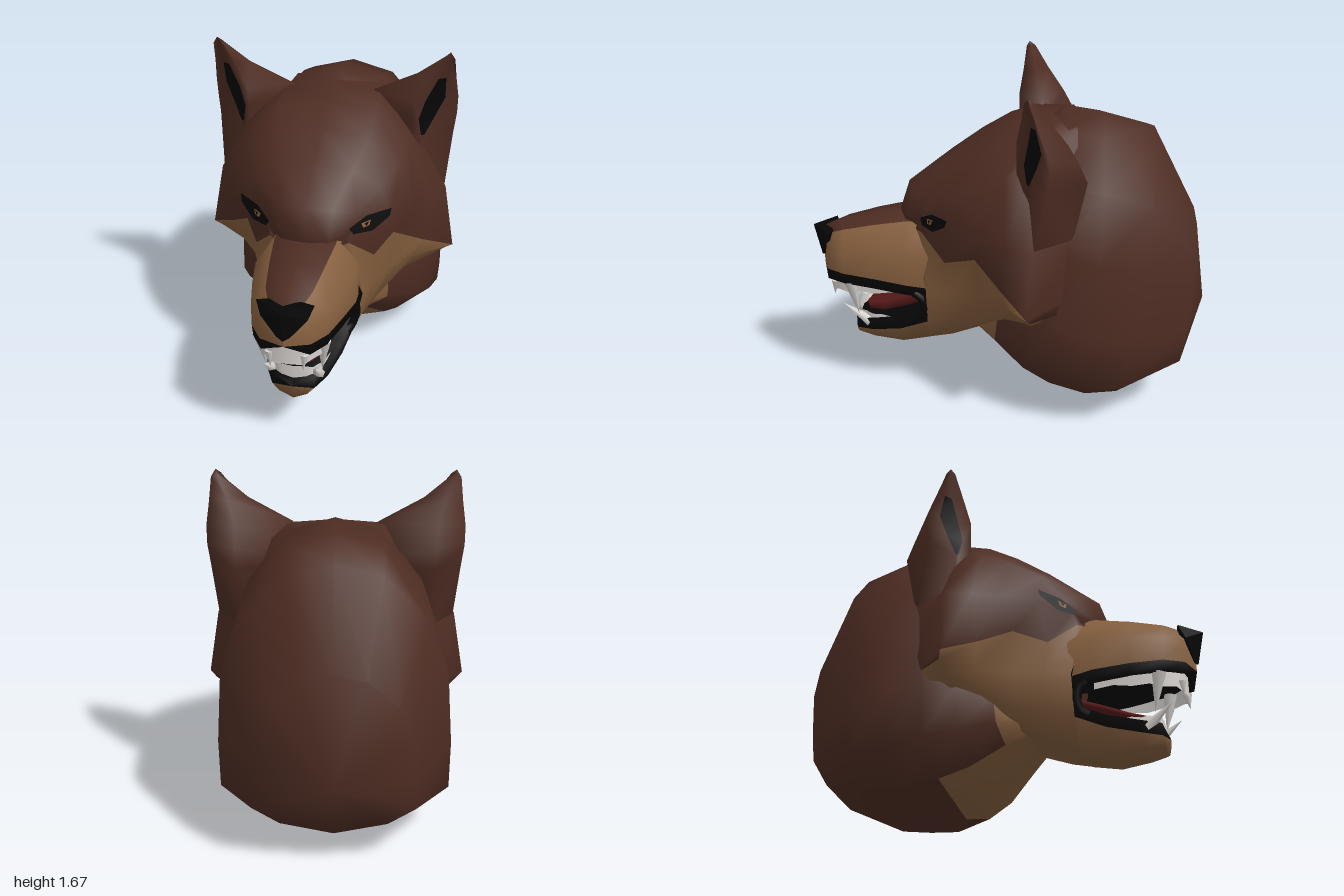
import * as THREE from 'three';
import { mergeVertices } from 'three/addons/utils/BufferGeometryUtils.js';
import { ConvexGeometry } from 'three/addons/geometries/ConvexGeometry.js';

const mat = (name, color, side = THREE.FrontSide) => {
  const m = new THREE.MeshStandardMaterial({ color, side });
  m.name = name;
  return m;
};

// Skin over rings of points; pick(i, j) chooses the material index of each patch
function skin(rings, pick, closed = true, flip = false) {
  const n = rings[0].length, lists = [];
  for (let i = 0; i < rings.length - 1; i++) {
    for (let j = 0; j < (closed ? n : n - 1); j++) {
      const a = i * n + j, b = i * n + (j + 1) % n, c = a + n, d = b + n;
      const list = (lists[pick(i, j)] ??= []);
      list.push(...(flip ? [a, c, b, b, c, d] : [a, b, c, b, d, c]));
    }
  }
  const geo = new THREE.BufferGeometry();
  geo.setAttribute('position', new THREE.Float32BufferAttribute(rings.flat(2), 3));
  geo.setIndex(lists.flat());
  let start = 0;
  lists.forEach((l, m) => { geo.addGroup(start, l.length, m); start += l.length; });
  geo.computeVertexNormals();
  return geo;
}

// Mirror-symmetric skin from half sections running top centre -> side -> bottom centre
function symSkin(halves, pick) {
  const n = halves[0].length;
  const rings = halves.map(h => [...h, ...h.slice(1, -1).reverse().map(([x, y, z]) => [-x, y, z])]);
  return skin(rings, (i, j) => pick(i, j < n - 1 ? j : 2 * n - 3 - j));
}
const point = (p, n) => Array(n).fill(p);
const lerp = THREE.MathUtils.lerp;

export function createModel() {
  const model = new THREE.Group();
  model.name = 'wolfHead';
  const fur = mat('brownFur', 0x4e2d23), tan = mat('tanFur', 0x855f3e);
  const black = mat('black', 0x060606, THREE.DoubleSide), white = mat('teethWhite', 0xd6d2ce, THREE.DoubleSide);
  const red = mat('mouthRed', 0x581a1a, THREE.DoubleSide), amber = mat('amber', 0x8f5c32, THREE.DoubleSide);
  const mats = [fur, tan, black];
  const add = (name, geo, material) => {
    const m = new THREE.Mesh(geo, material);
    m.name = name;
    model.add(m);
    return m;
  };

  // Neck and mane: one outline scaled by [zBottom, zTop, yBottom, yTop, halfWidth]
  const outline = [[0, 1], [0.4, 0.96], [0.76, 0.81], [0.95, 0.6], [1, 0.35], [1, 0.17], [0.66, 0.067], [0, 0]];
  const neck = [
    [0.22, 0.1, 0.37, 0.7, 0.16], [0.08, 0, 0.27, 1, 0.33], [-0.07, -0.1, 0.12, 1.38, 0.45],
    [-0.2, -0.28, 0.05, 1.49, 0.52], [-0.38, -0.45, 0, 1.46, 0.545], [-0.53, -0.7, 0.02, 1.39, 0.54],
    [-0.83, -0.92, 0.16, 0.97, 0.37], [-1, -1, 0.47, 0.47, 0],
  ].map(([zb, zt, yb, yt, w]) => outline.map(([u, v]) => [u * w, lerp(yb, yt, v), lerp(zb, zt, v)]));
  const neckSkin = symSkin(neck, (i, r) => (i === 0 && r > 3) || (i < 3 && r === 6) ? 1 : 0);
  neckSkin.deleteAttribute('normal');
  const neckGeo = mergeVertices(neckSkin);
  neckGeo.computeVertexNormals();
  add('neck', neckGeo, mats);

  // Skull and cheeks: [z, forward lean of crown, crown y, brow x, y, eye x, tan edge x, y, cheek x, cheek bottom y, jaw x, y]
  const skull = [
    [0.45, 0.1, 0.95, 0.19, 0.95, 0.18, 0.15, 0.9, 0.255, 0.42, 0.14, 0.26],
    [0.41, 0.09, 1.1, 0.21, 1.03, 0.2, 0.19, 0.9, 0.255, 0.42, 0.14, 0.26],
    [0.29, 0.01, 1.23, 0.31, 1.13, 0.36, 0.29, 0.78, 0.29, 0.45, 0.18, 0.3],
    [0.14, 0, 1.33, 0.38, 1.2, 0.45, 0.36, 0.83, 0.35, 0.46, 0.2, 0.36],
    [0.01, -0.02, 1.41, 0.4, 1.26, 0.53, 0.5, 0.73, 0.45, 0.53, 0.3, 0.42],
    [-0.11, -0.04, 1.45, 0.4, 1.3, 0.58, 0.635, 0.65, 0.6, 0.58, 0.42, 0.46],
    [-0.32, 0, 1.45, 0.38, 1.18, 0.46, 0.48, 0.7, 0.45, 0.5, 0.3, 0.42],
  ].map(([z, lean, top, bx, by, ex, tx, ty, cx, cy, jx, jy]) => {
    const zj = Math.min(z, 0.41);
    return [[0, top, z + lean], [bx * 0.58, top - 0.02, z + lean * 0.7], [bx, by, z - lean * 0.25],
      [ex, Math.min(0.97, by - 0.03), z], [tx, ty, z + 0.02],
      [cx, 0.62, zj], [cx * 0.85, cy, zj], [jx, jy + 0.03, zj], [0, jy, zj]];
  });
  skull.unshift(point([0, 0.5, 0.38], 9));
  add('skull', symSkin(skull, (i, r) => {
    if (i === 0) return r > 3 ? 2 : 0;
    return r > (i === 6 ? 4 : 3) ? 1 : 0;
  }), mats);

  // Upper muzzle: [z, top y, half width, lip y]; bridge, tan sides, black lip and palate
  const muzzle = [
    [0.92, 0.85, 0.115, 0.66], [0.83, 0.885, 0.175, 0.66], [0.68, 0.92, 0.21, 0.65],
    [0.51, 0.95, 0.24, 0.63], [0.39, 0.95, 0.235, 0.61],
  ].map(([z, top, w, lip]) => [[0, top, z + 0.03], [w * 0.6, top - 0.015, z], [w, (top + lip) / 2, z],
    [w, lip, z], [w * 0.97, lip - 0.055, z], [0, lip, z - 0.01]]);
  muzzle.unshift(point([0, 0.655, 0.955], 6));
  add('upperMuzzle', symSkin(muzzle, (i, r) => r > 2 ? 2 : r === 0 && i > 0 ? 0 : 1), mats);

  // Lower jaw: [z, lip y, half width, bottom y]; black floor and lip, tan chin
  const jaw = [
    [0.79, 0.38, 0.1, 0.25], [0.7, 0.39, 0.145, 0.235], [0.55, 0.42, 0.185, 0.225], [0.405, 0.48, 0.216, 0.26],
  ].map(([z, lip, w, low]) => [[0, lip - 0.02, z], [w, lip, z], [w, lip - 0.06, z], [w * 0.65, low + 0.03, z], [0, low, z]]);
  jaw.unshift(point([0, 0.33, 0.81], 5));
  add('lowerJaw', symSkin(jaw, (i, r) => r < 2 ? 2 : 1), mats);

  // Tongue: [z, y, half width]
  const tongue = [[0.75, 0.42, 0], [0.72, 0.42, 0.08], [0.64, 0.43, 0.115], [0.52, 0.47, 0.14], [0.38, 0.52, 0.15]]
    .map(([z, y, w]) => [[0, y + w * 0.15, z], [w * 0.7, y + w * 0.25, z], [w, y, z], [0, y - w * 0.25, z]]);
  add('tongue', symSkin(tongue, () => 0), [red]);

  // Nose
  const nosePoints = [[0, 0.855, 1], [0, 0.855, 0.87], [0, 0.69, 0.965], [0, 0.7, 0.9]];
  for (const s of [1, -1]) nosePoints.push([s * 0.13, 0.85, 0.9], [s * 0.105, 0.79, 0.93], [s * 0.03, 0.705, 0.955]);
  add('nose', new ConvexGeometry(nosePoints.map(p => new THREE.Vector3(...p))), black);

  // Rows of teeth: a zigzag edge along a U-shaped gum line
  const toothRow = (name, gum, edge, w, z, depth) => {
    const rows = [[], []];
    for (let i = 0; i <= 14; i++) {
      const t = (i / 14 - 0.5) * Math.PI, sin = Math.sin(t);
      const x = w * Math.sign(sin) * Math.abs(sin) ** 0.6, zz = z + depth * Math.cos(t);
      rows[0].push([x, gum, zz]);
      rows[1].push([x, lerp(edge, gum, 0.1 * (i % 2) + 0.3 * Math.abs(sin)), zz]);
    }
    add(name, skin(rows, () => 0, false), [white]);
  };
  toothRow('upperTeeth', 0.63, 0.52, 0.185, 0.5, 0.41);
  toothRow('lowerTeeth', 0.36, 0.435, 0.145, 0.56, 0.225);

  const fang = (name, base, tip, r) => {
    const a = new THREE.Vector3(...base), b = new THREE.Vector3(...tip), dir = b.clone().sub(a);
    const m = add(name, new THREE.ConeGeometry(r, dir.length(), 7), white);
    m.position.copy(a).add(b).multiplyScalar(0.5);
    m.quaternion.setFromUnitVectors(new THREE.Vector3(0, 1, 0), dir.normalize());
  };

  // Ear rings: [y, front rim x, outer rim x, inner x, front rim z, outer rim z, back z, middle and half width of dark inside]
  const ear = [
    [0.98, 0.42, 0.572, 0.3, -0.06, -0.12, -0.3, 0.5, 0],
    [1.26, 0.4, 0.597, 0.2, -0.04, -0.18, -0.36, 0.28, 0.04],
    [1.35, 0.405, 0.608, 0.2, -0.04, -0.19, -0.32, 0.32, 0.18],
    [1.44, 0.41, 0.61, 0.2, -0.04, -0.18, -0.27, 0.48, 0.22],
    [1.55, 0.465, 0.598, 0.415, -0.06, -0.14, -0.19, 0.52, 0.13],
    [1.655, 0.545, 0.59, 0.55, -0.075, -0.1, -0.12, 0.5, 0.1],
  ].map(([y, xf, xo, xi, zf, zo, zb, t, dt]) => {
    const inside = k => [lerp(xf, xo, k), y - 0.015, lerp(zf, zo, k) - 0.012];
    return [[xf, y, zf], inside(t - dt), inside(t + dt), [xo, y - 0.015, zo],
      [lerp(xf, xo, 0.3), y, zb], [xi, y, (zf + zb) / 2]];
  });
  ear.push(point([0.568, 1.675, -0.09], 6));

  // Eye plates lie on the slanted face beside the muzzle
  const eyePlate = (name, s, pts, lift, material) => {
    const geo = new THREE.ShapeGeometry(new THREE.Shape(pts.map(([x, y]) => new THREE.Vector2(s * x, y))));
    const p = geo.attributes.position;
    for (let i = 0; i < p.count; i++) {
      p.setZ(i, 0.41 - 0.75 * (Math.abs(p.getX(i)) - 0.2) - 0.234 * (p.getY(i) - 0.97) + lift);
    }
    geo.computeVertexNormals();
    add(name, geo, material);
  };

  for (const [side, s] of [['left', 1], ['right', -1]]) {
    add(side + 'Ear', skin(ear.map(r => r.map(([x, y, z]) => [s * x, y, z])),
      (i, j) => j === 1 && i > 0 && i < 4 ? 2 : 0, true, s < 0), mats);
    eyePlate(side + 'Eye', s, [[0.365, 1.03], [0.26, 1.02], [0.19, 0.975], [0.21, 0.945], [0.29, 0.942], [0.36, 0.995]], 0.015, black);
    eyePlate(side + 'Iris', s, [[0.28, 0.998], [0.24, 0.99], [0.25, 0.967], [0.275, 0.973]], 0.019, amber);
    eyePlate(side + 'Pupil', s, [[0.272, 0.992], [0.254, 0.988], [0.264, 0.972]], 0.022, black);
    fang(side + 'UpperFang', [s * 0.148, 0.61, 0.8], [s * 0.135, 0.42, 0.77], 0.036);
    fang(side + 'Incisor', [s * 0.08, 0.58, 0.89], [s * 0.075, 0.5, 0.9], 0.022);
    fang(side + 'LowerFang', [s * 0.105, 0.36, 0.72], [s * 0.12, 0.47, 0.85], 0.032);
    // Black lip around the corner of the mouth
    const corner = [];
    for (let i = 0; i <= 4; i++) {
      const t = i / 4 * Math.PI;
      corner.push(new THREE.Vector3(s * (0.205 + 0.02 * Math.sin(t) + 0.016 * Math.cos(t)),
        0.505 + 0.075 * Math.cos(t), 0.47 - 0.045 * Math.sin(t)));
    }
    add(side + 'LipCorner', new THREE.TubeGeometry(new THREE.CatmullRomCurve3(corner), 10, 0.021, 7), black);
  }
  return model;
}
